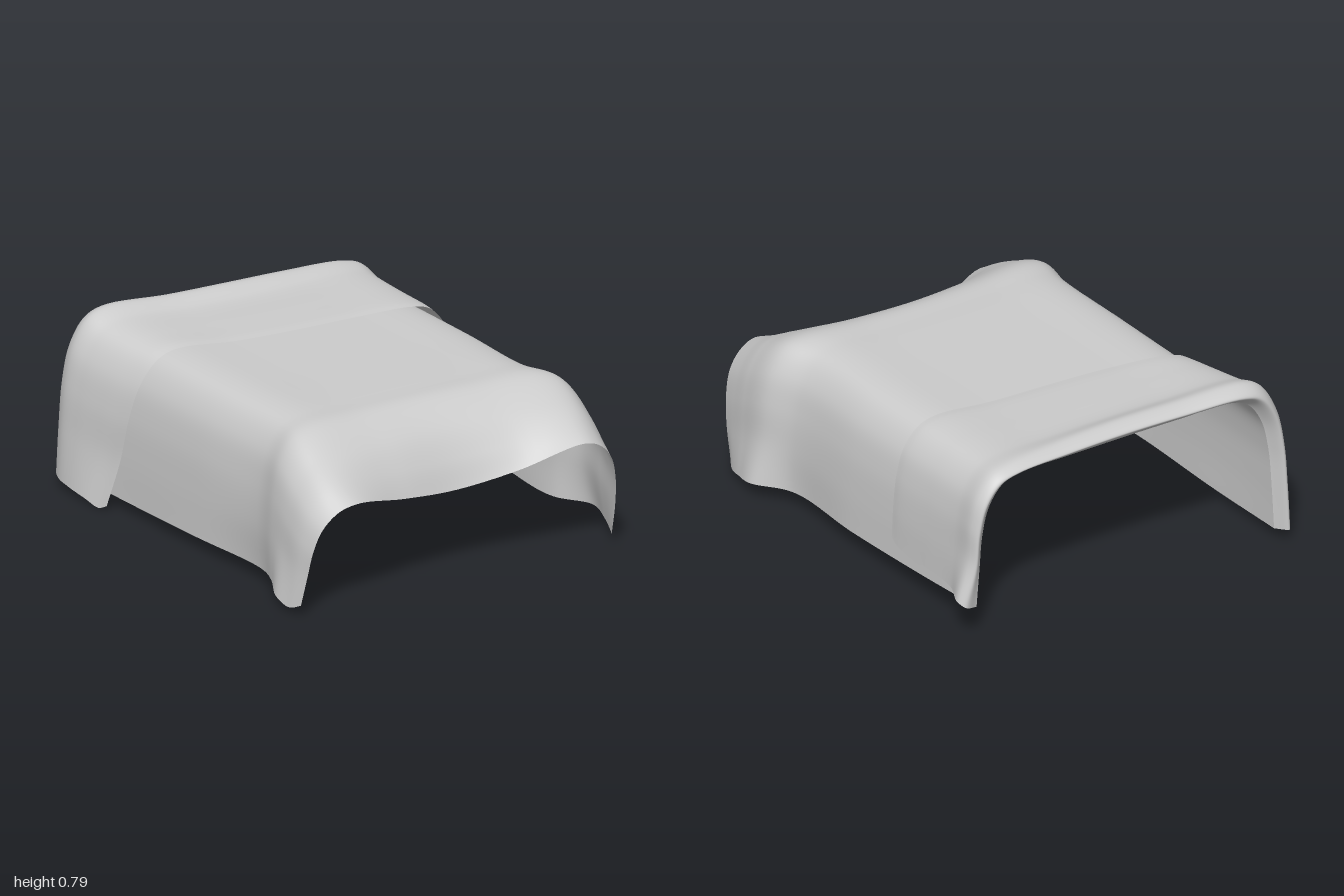
import * as THREE from 'three';

const material = new THREE.MeshStandardMaterial({ color: 0xcccccc, side: THREE.DoubleSide });

// One side of a cross-section, from the shoulder down to the hem.
// side = [widest x, hem x, hem y, shoulder y, shoulder z, hem z]
function sidePoints(sign, [xm, xh, yh, yk, zk, zh]) {
  const drops = [[xm - 0.21, 0], [xm - 0.12, 0.05], [xm - 0.05, 0.2], [xm - 0.015, 0.42], [xm, 0.7], [xh, 1]];
  return drops.map(([x, f]) => new THREE.Vector3(
    sign * x, yk - f * (yk - yh), zk + (zh - zk) * f));
}

// Whole cross-section, from the right hem over the top to the left hem.
// row = [right side, [centre y, centre z], left side]
function crossSection([right, [y, z], left]) {
  const a = sidePoints(-1, right), b = sidePoints(1, left);
  const c = new THREE.Vector3(0, y, z);
  const between = (p, sign) => new THREE.Vector3(
    sign * 0.29, y + (p.y - y) * 0.32, z + (p.z - z) * 0.32);
  return [...a.reverse(), between(a[5], -1), c, between(b[0], 1), ...b];
}

// Smooth cloth surface lofted through the cross-sections, back to front.
function cloth(name, rows, across, along) {
  const smooth = (pts, n) => {
    const curve = new THREE.CatmullRomCurve3(pts, false, 'centripetal');
    return Array.from({ length: n + 1 }, (_, i) => curve.getPoint(i / n));
  };
  const sections = rows.map(r => smooth(crossSection(r), across));
  const strips = sections[0].map((_, i) => smooth(sections.map(s => s[i]), along));
  const positions = [], index = [];
  strips.forEach(strip => strip.forEach(p => positions.push(p.x, p.y, p.z)));
  const w = along + 1;
  for (let i = 0; i < across; i++) {
    for (let j = 0; j < along; j++) {
      const a = i * w + j, b = a + w;
      index.push(a, a + 1, b, b, a + 1, b + 1);
    }
  }
  const geometry = new THREE.BufferGeometry();
  geometry.setAttribute('position', new THREE.Float32BufferAttribute(positions, 3));
  geometry.setIndex(index);
  geometry.computeVertexNormals();
  const mesh = new THREE.Mesh(geometry, material);
  mesh.name = name;
  return mesh;
}

export function createModel() {
  const group = new THREE.Group();
  group.name = 'drapedBlanket';

  // Main sheet: level over the bed, flaring at the front corners
  group.add(cloth('blanket', [
    [[0.75, 0.76, 0.05, 0.71, -0.93, -0.94], [0.71, -0.92], [0.74, 0.755, 0.13, 0.705, -0.92, -0.92]],
    [[0.75, 0.755, 0.05, 0.71, -0.5, -0.5], [0.71, -0.5], [0.745, 0.75, 0.1, 0.71, -0.5, -0.5]],
    [[0.75, 0.755, 0.06, 0.71, 0, 0], [0.71, 0], [0.75, 0.755, 0.085, 0.71, 0, 0]],
    [[0.75, 0.74, 0.065, 0.71, 0.45, 0.47], [0.71, 0.43], [0.745, 0.745, 0.075, 0.71, 0.43, 0.45]],
    [[0.785, 0.79, 0.07, 0.70, 0.61, 0.63], [0.70, 0.58], [0.80, 0.84, 0.07, 0.705, 0.61, 0.62]],
    [[0.81, 0.84, 0.045, 0.62, 0.78, 0.74], [0.62, 0.71], [0.79, 0.82, 0.05, 0.63, 0.78, 0.74]],
    [[0.82, 0.84, 0.025, 0.56, 0.89, 0.84], [0.5, 0.8], [0.77, 0.785, 0.03, 0.57, 0.89, 0.84]],
    [[0.81, 0.825, 0.05, 0.49, 1.0, 0.91], [0.385, 0.855], [0.75, 0.75, 0.045, 0.52, 0.99, 0.9]],
  ], 96, 80));

  // Turned-back end: rolls over the back edge and lies on the sheet, slightly askew
  group.add(cloth('foldedBackEnd', [
    [[0.75, 0.76, 0.05, 0.71, -0.93, -0.94], [0.71, -0.92], [0.74, 0.755, 0.13, 0.705, -0.92, -0.92]],
    [[0.79, 0.80, 0.055, 0.745, -0.985, -0.995], [0.74, -0.945], [0.77, 0.82, 0.15, 0.72, -0.945, -0.935]],
    [[0.82, 0.83, 0.045, 0.78, -0.92, -0.94], [0.77, -0.88], [0.785, 0.84, 0.17, 0.745, -0.9, -0.9]],
    [[0.82, 0.84, 0.035, 0.75, -0.8, -0.84], [0.738, -0.77], [0.77, 0.785, 0.17, 0.735, -0.77, -0.77]],
    [[0.80, 0.835, 0.02, 0.733, -0.62, -0.73], [0.73, -0.58], [0.765, 0.77, 0.17, 0.73, -0.56, -0.56]],
    [[0.78, 0.82, 0.0, 0.728, -0.5, -0.65], [0.725, -0.42], [0.765, 0.768, 0.175, 0.727, -0.37, -0.36]],
    [[0.77, 0.81, 0.02, 0.724, -0.45, -0.6], [0.72, -0.37], [0.76, 0.765, 0.2, 0.723, -0.325, -0.31]],
  ], 96, 60));

  return group;
}
